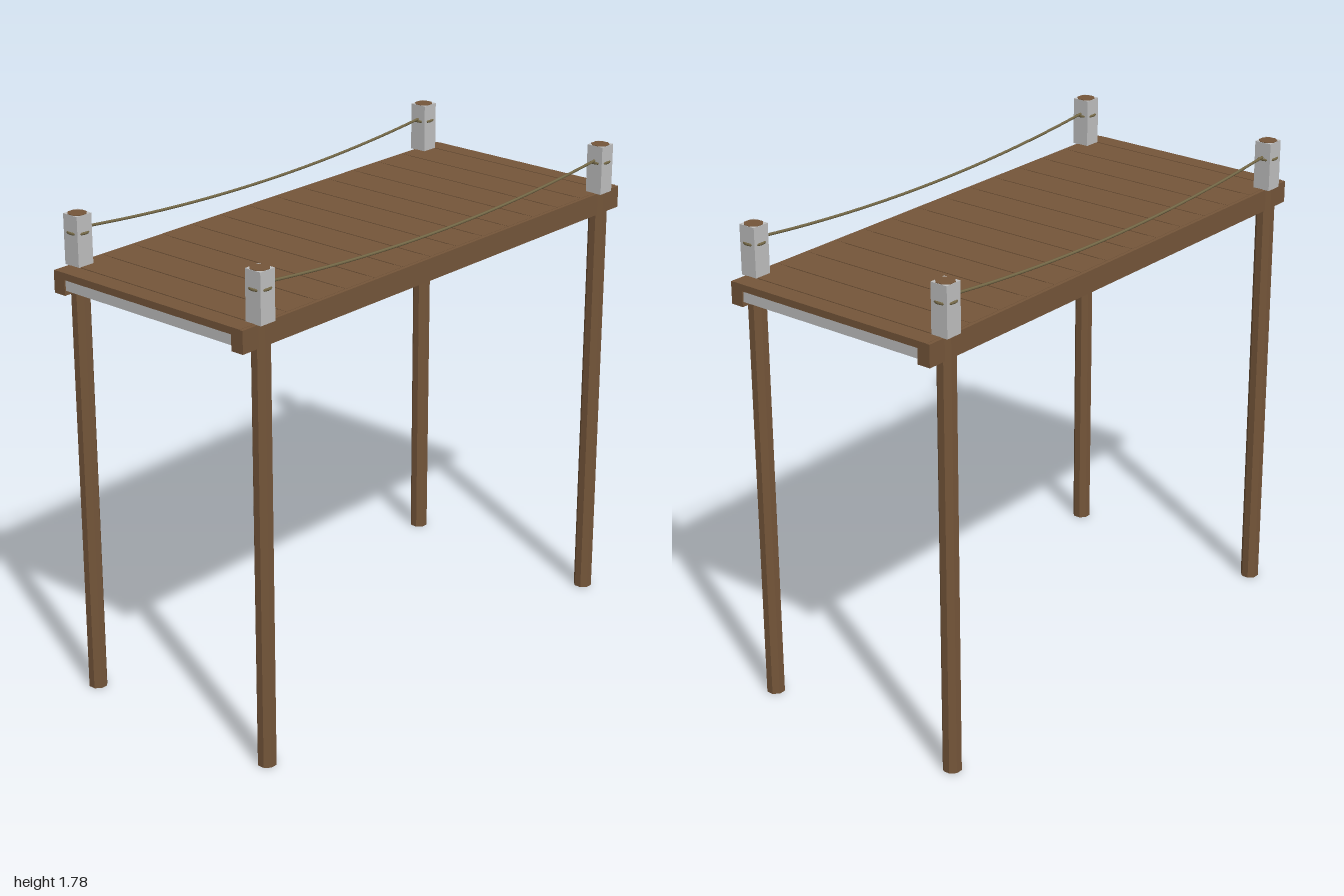
import * as THREE from 'three';

export function createModel() {
  const root = new THREE.Group();
  const wood = new THREE.MeshStandardMaterial({ name: 'brown wood', color: 0x75563a });
  const metal = new THREE.MeshStandardMaterial({ name: 'light grey', color: 0xc0c0c0 });
  const ropeMat = new THREE.MeshStandardMaterial({ name: 'olive rope', color: 0x766a48 });

  const add = (name, geometry, material, x = 0, y = 0, z = 0) => {
    const mesh = new THREE.Mesh(geometry, material);
    mesh.name = name;
    mesh.position.set(x, y, z);
    root.add(mesh);
    return mesh;
  };
  const box = (name, w, h, d, material, x, y, z) =>
    add(name, new THREE.BoxGeometry(w, h, d), material, x, y, z);

  const postX = 0.416, postZ = 0.9, postTop = 1.78;

  // Deck slab carrying the planks
  box('deckSlab', 0.836, 0.06, 1.99, metal, 0, 1.567, 0);

  // Planks with narrow gaps; the two end planks are half width
  const pitch = 1 / 7, gap = 0.005;
  for (let i = -7; i <= 7; i++) {
    const z0 = Math.max(-1, (i - 0.5) * pitch + (i > -7 ? gap / 2 : 0));
    const z1 = Math.min(1, (i + 0.5) * pitch - (i < 7 ? gap / 2 : 0));
    box('plank', 0.84, 0.025, z1 - z0, wood, 0, 1.5885, (z0 + z1) / 2);
  }

  for (const side of [-1, 1]) {
    // Long side beams
    box('sideBeam', 0.05, 0.08, 2, wood, side * 0.408, 1.56, 0);

    // Sagging rope rail
    const points = [];
    for (let i = 0; i <= 12; i++) {
      const z = -0.868 + (i / 12) * 1.736;
      points.push(new THREE.Vector3(side * postX, 1.677 + 0.046 * (z / 0.868) ** 2, z));
    }
    const rope = new THREE.TubeGeometry(new THREE.CatmullRomCurve3(points), 24, 0.005, 6);
    add('ropeRail', rope, ropeMat);

    // Octagonal posts, square caps and rope loops
    for (const end of [-1, 1]) {
      const x = side * postX, z = end * postZ;
      const postGeo = new THREE.CylinderGeometry(0.034, 0.034, postTop, 8).toNonIndexed();
      postGeo.rotateY(Math.PI / 8);
      postGeo.computeVertexNormals();
      add('post', postGeo, wood, x, postTop / 2, z);
      box('postCap', 0.066, 0.178, 0.066, metal, x, 1.689, z);
      const loop = new THREE.TorusGeometry(0.035, 0.005, 6, 16).rotateX(Math.PI / 2);
      add('ropeLoop', loop, ropeMat, x, 1.715, z);
    }
  }
  return root;
}
